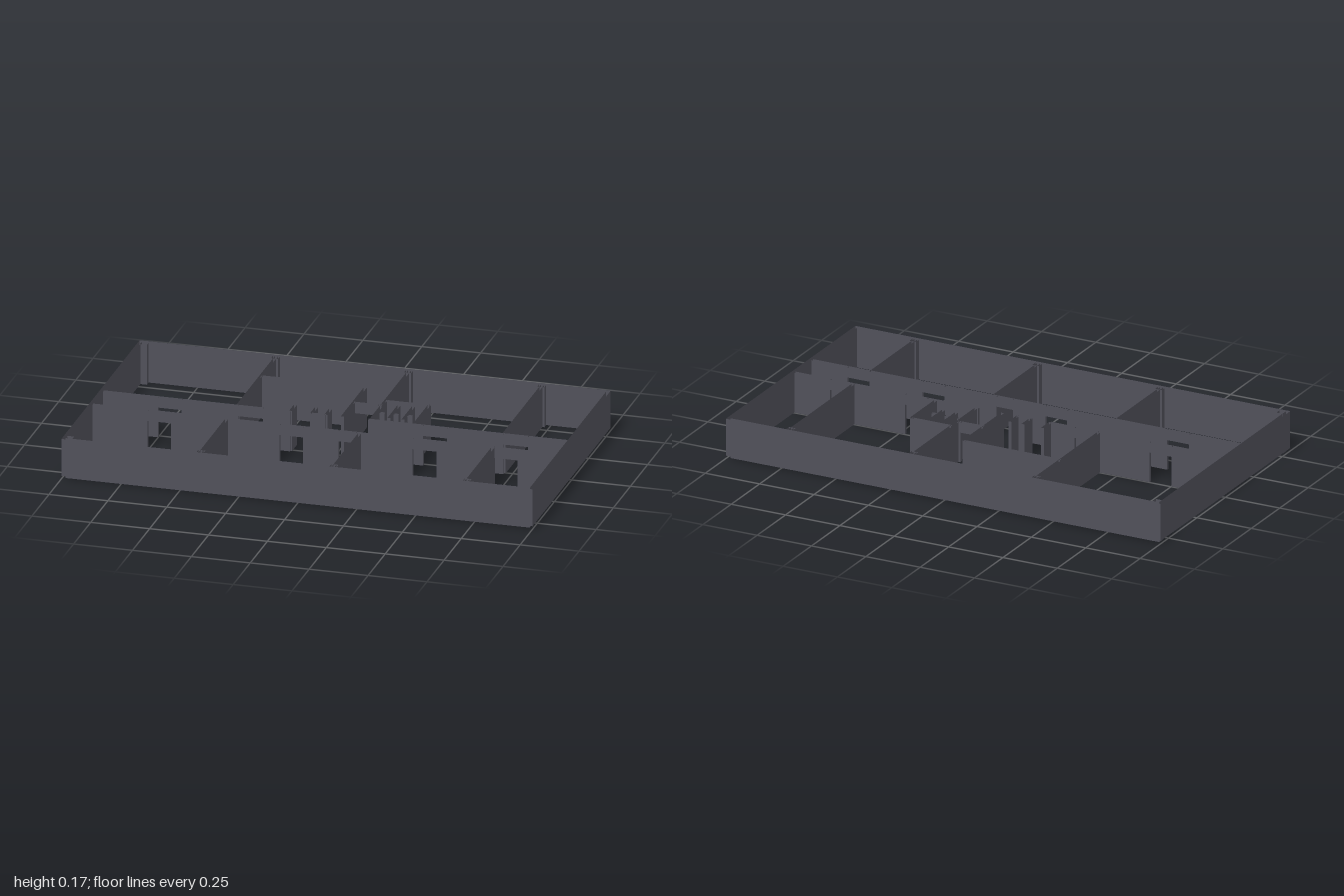
import * as THREE from 'three';

const TOP = 0.175, DOOR_TOP = 0.13, T = 0.013;

export function createModel() {
  const model = new THREE.Group();
  model.name = 'floorPlan';
  const wallPaint = new THREE.MeshStandardMaterial({ color: 0x50505a, side: THREE.DoubleSide });
  wallPaint.name = 'wallGrey';

  // Hollow box without caps; an underside can be kept for lintels
  function shell(name, x0, x1, z0, z1, y0 = 0, y1 = TOP, underside = false) {
    const g = new THREE.BoxGeometry(x1 - x0, y1 - y0, z1 - z0);
    const faces = Array.from(g.index.array);
    faces.splice(12, underside ? 6 : 12);
    g.setIndex(faces);
    g.clearGroups();
    g.translate((x0 + x1) / 2, (y0 + y1) / 2, (z0 + z1) / 2);
    const mesh = new THREE.Mesh(g, wallPaint);
    mesh.name = name;
    model.add(mesh);
  }

  // Wall running along x, with doorways under lintels
  function wallX(name, z, x0, x1, doors = []) {
    let from = x0;
    for (const [a, b] of doors) {
      if (a > from) shell(name, from, a, z - T / 2, z + T / 2);
      shell(name + 'Lintel', a, b, z - T / 2, z + T / 2, DOOR_TOP, TOP, true);
      from = b;
    }
    if (x1 > from) shell(name, from, x1, z - T / 2, z + T / 2);
  }

  // Wall running along z
  const wallZ = (name, x, z0, z1, y0, y1) => shell(name, x - T / 2, x + T / 2, z0, z1, y0, y1);

  // Outer faces stop above the ground, inner faces reach it
  shell('outerFacade', -1, 1, -0.57, 0.57, 0.013, TOP);
  shell('innerFacade', -0.985, 0.985, -0.556, 0.556);

  // Corridor walls
  wallX('frontCorridorWall', 0.163, -0.985, 0.985,
    [[-0.75, -0.65], [-0.19, -0.09], [0.06, 0.135], [0.375, 0.475], [0.72, 0.82]]);
  wallX('backCorridorWallLeft', 0.01, -0.985, -0.19, [[-0.75, -0.65], [-0.41, -0.305]]);
  wallX('backCorridorWallMiddle', 0.01, -0.10, -0.04);
  wallX('backCorridorWallRight', 0.01, 0.14, 0.985, [[0.375, 0.475], [0.715, 0.82]]);

  // Room partitions and columns on a regular grid
  for (const x of [-0.415, 0.15, 0.715]) {
    wallZ('frontPartition', x, 0.17, 0.556);
    wallZ('backPartition', x, -0.556, 0.004);
  }
  for (const x of [-0.972, -0.415, 0.15, 0.715]) {
    for (const z of [-0.543, 0.543]) {
      shell('column', x - 0.015, x + 0.015, z - 0.013, z + 0.013);
    }
  }

  // Service core behind the corridor
  wallX('coreBackWall', -0.33, -0.415, 0.03);
  wallZ('coreSideWall', 0.03, -0.33, 0.01);
  wallX('lobbyWall', -0.155, 0.03, 0.15, [[0.03, 0.135]]);
  for (const x of [-0.19, -0.10, -0.04]) wallZ('shaftPier', x, -0.06, 0.01);

  // Washroom with raised cubicle panels
  wallX('washroomBackWall', -0.21, 0.15, 0.335);
  wallZ('washroomSideWall', 0.335, -0.21, 0.004);
  for (const x of [0.21, 0.27]) wallZ('cubiclePanel', x, -0.2, -0.05, 0.02, 0.165);
  for (const x of [0.157, 0.215, 0.275]) {
    shell('cubicleFront', x, x + 0.022, -0.106, -0.094, 0.02, 0.165);
  }

  return model;
}
